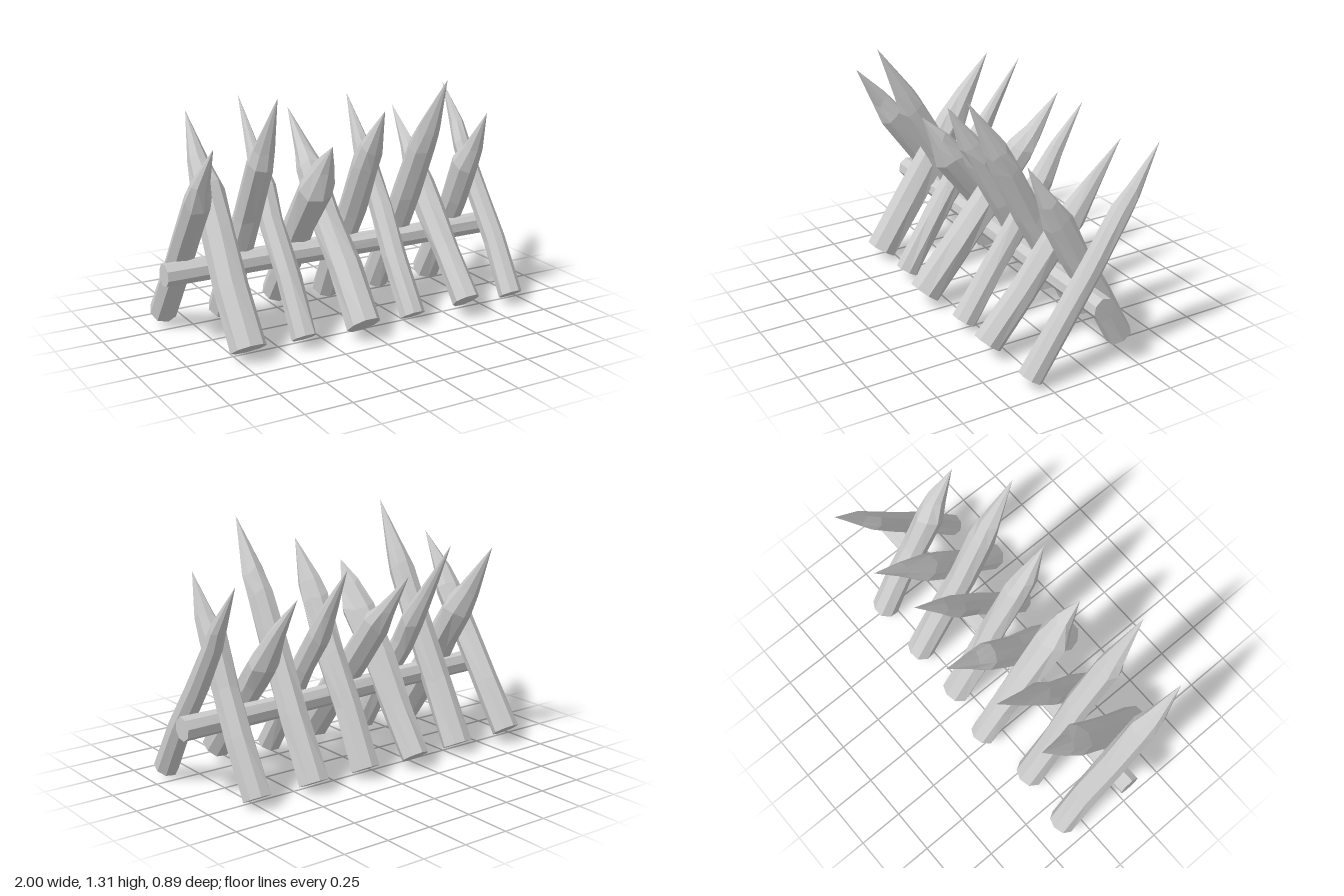
import * as THREE from 'three';

const SIDES = 8;
const UP = new THREE.Vector3(0, 1, 0);
const wood = new THREE.MeshStandardMaterial({ color: 0xcccccc, flatShading: true });

// Repeatable noise in -1..1
function seeded(seed) {
  let s = seed * 7919 + 17;
  return () => {
    s = (s * 16807) % 2147483647;
    return (s / 2147483647) * 2 - 1;
  };
}

// Rough-hewn pole: faceted lathe whose rings wander and whose corners are uneven
function hewnPole(profile, seed, wander, rough) {
  const rnd = seeded(seed);
  for (let i = 0; i < 5; i++) rnd();
  const points = profile.map(([r, y]) => new THREE.Vector2(r, y));
  const geo = new THREE.LatheGeometry(points, SIDES, rnd() * 0.4);
  const pos = geo.attributes.position;
  const n = points.length;
  for (let j = 1; j < n - 1; j++) {
    const isEnd = j === 1 || profile[j][1] === profile[n - 1][1];
    const dx = isEnd ? 0 : rnd() * wander;
    const dz = isEnd ? 0 : rnd() * wander;
    const corners = Array.from({ length: SIDES }, () => [1 + rnd() * rough, isEnd ? 0 : rnd() * 0.025]);
    for (let i = 0; i <= SIDES; i++) {
      const [scale, lift] = corners[i % SIDES];
      const k = i * n + j;
      pos.setXYZ(k, pos.getX(k) * scale + dx, pos.getY(k) + lift, pos.getZ(k) * scale + dz);
    }
  }
  geo.computeVertexNormals();
  return geo;
}

// x, tip y, tip z, lowest y, outermost foot z, foot radius,
// shoulder position and radius, neck position and radius
const STAKES = [
  // feet at the back, points to the front
  [-0.875, 1.10, 0.36, 0.03, -0.41, 0.075, 0.70, 0.070, 0.80, 0.050],
  [-0.55, 1.31, 0.38, 0.00, -0.37, 0.080, 0.72, 0.068, 0.79, 0.054],
  [-0.21, 1.02, 0.30, 0.02, -0.42, 0.078, 0.74, 0.088, 0.86, 0.055],
  [0.085, 1.17, 0.31, 0.00, -0.37, 0.080, 0.72, 0.070, 0.80, 0.060],
  [0.41, 1.31, 0.38, 0.00, -0.37, 0.080, 0.70, 0.070, 0.78, 0.060],
  [0.75, 1.08, 0.26, 0.00, -0.36, 0.075, 0.69, 0.073, 0.80, 0.050],
  // feet at the front, points to the back
  [-0.70, 1.13, -0.38, 0.01, 0.40, 0.090, 0.66, 0.080, 0.78, 0.056],
  [-0.39, 1.18, -0.40, 0.02, 0.38, 0.068, 0.60, 0.060, 0.76, 0.036],
  [-0.07, 1.07, -0.45, 0.03, 0.45, 0.090, 0.72, 0.074, 0.80, 0.048],
  [0.26, 1.13, -0.38, 0.02, 0.38, 0.065, 0.65, 0.060, 0.78, 0.042],
  [0.57, 1.03, -0.40, 0.05, 0.43, 0.076, 0.60, 0.074, 0.80, 0.040],
  [0.90, 1.13, -0.38, 0.02, 0.38, 0.065, 0.70, 0.050, 0.79, 0.038],
];

function makeStake([x, tipY, tipZ, lowY, footZ, r, st, sr, nt, nr], i) {
  // Foot centre lies inward and above the outer rim of the sloping end
  const foot = new THREE.Vector3(x, lowY + r * 0.55, footZ - Math.sign(footZ) * r * 0.82);
  const axis = new THREE.Vector3(x, tipY, tipZ).sub(foot);
  const len = axis.length();
  const profile = [
    [0, 0],
    [r, 0],
    [r * 0.97, len * 0.25],
    [(r + sr) * 0.5, len * 0.48],
    [sr * 1.04, len * st],
    [nr, len * nt],
    [0, len],
  ];
  const stake = new THREE.Mesh(hewnPole(profile, i + 3, 0.008, 0.07), wood);
  stake.position.copy(foot);
  stake.quaternion.setFromUnitVectors(UP, axis.normalize());
  stake.name = (footZ < 0 ? 'forwardStake' : 'backwardStake') + (i % 6 + 1);
  return stake;
}

export function createModel() {
  const group = new THREE.Group();
  group.name = 'stakeBarricade';

  // Crossed rows of sharpened stakes
  STAKES.forEach((s, i) => group.add(makeStake(s, i)));

  // Long log tying the stakes together, slightly out of level
  const left = new THREE.Vector3(1, 0.372, -0.025);
  const right = new THREE.Vector3(-1, 0.393, -0.005);
  const axis = left.clone().sub(right);
  const len = axis.length();
  const profile = [[0, 0], [0.06, 0], [0.06, len * 0.35], [0.058, len * 0.7], [0.063, len], [0, len]];
  const log = new THREE.Mesh(hewnPole(profile, 31, 0.005, 0.05), wood);
  log.position.copy(right);
  log.quaternion.setFromUnitVectors(UP, axis.normalize());
  log.name = 'crossLog';
  group.add(log);

  return group;
}
